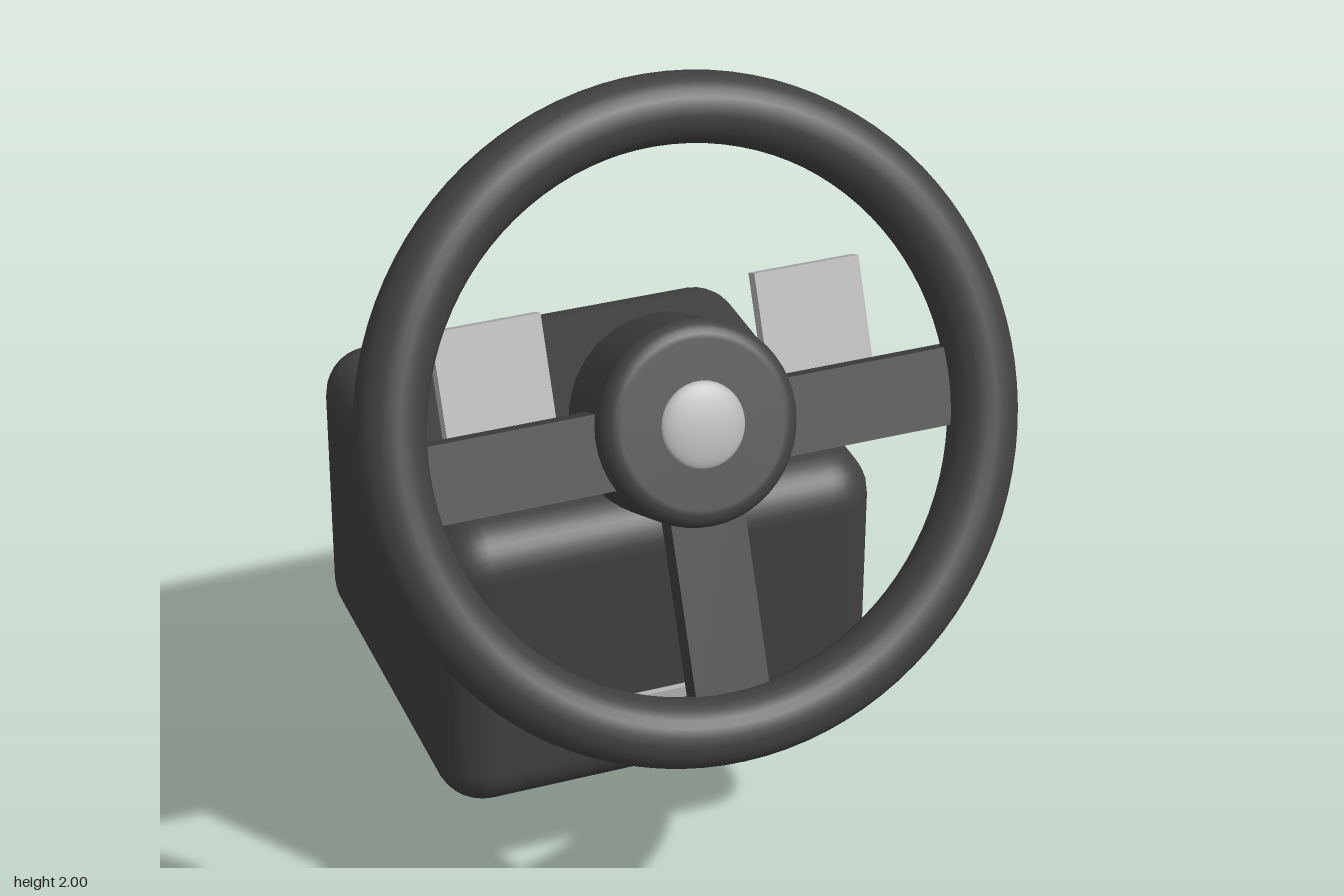
import * as THREE from 'three';
import { RoundedBoxGeometry } from 'three/addons/geometries/RoundedBoxGeometry.js';

const TILT = THREE.MathUtils.degToRad(24);

export function createModel() {
  const model = new THREE.Group();
  model.name = 'steeringWheelController';

  const dark = new THREE.MeshStandardMaterial({ color: 0x404040 });
  dark.name = 'dark plastic';
  const silver = new THREE.MeshStandardMaterial({ color: 0xb4b4b4 });
  silver.name = 'silver';

  const add = (parent, name, geometry, material, x = 0, y = 0, z = 0) => {
    const mesh = new THREE.Mesh(geometry, material);
    mesh.name = name;
    mesh.position.set(x, y, z);
    parent.add(mesh);
    return mesh;
  };

  // Base housing, rear clamp and front slot
  add(model, 'housing', new RoundedBoxGeometry(1.01, 0.72, 0.965, 4, 0.11), dark, 0, 0.68, -0.2425);
  add(model, 'clamp', new RoundedBoxGeometry(0.286, 0.4, 0.19, 2, 0.015), silver, 0, 0.2, -0.63);
  add(model, 'frontSlot', new THREE.BoxGeometry(0.24, 0.027, 0.03), silver, 0, 0.56, 0.24);

  // Wheel assembly: local z is the steering axis, leaning back
  const wheel = new THREE.Group();
  wheel.name = 'wheel';
  wheel.position.set(0, 1.333, 0.383);
  wheel.rotation.x = -TILT;
  model.add(wheel);

  add(wheel, 'rim', new THREE.TorusGeometry(0.65, 0.075, 24, 96), dark);

  // Hub: cylinder side and rounded front edge, plus a flat back disc
  const profile = [new THREE.Vector2(0.218, -0.167)];
  for (let i = 0; i <= 6; i++) {
    const a = (i / 6) * Math.PI / 2;
    profile.push(new THREE.Vector2(0.178 + 0.04 * Math.cos(a), 0.018 + 0.04 * Math.sin(a)));
  }
  profile.push(new THREE.Vector2(0, 0.058));
  add(wheel, 'hub', new THREE.LatheGeometry(profile, 48).rotateX(Math.PI / 2), dark);
  add(wheel, 'hubBack', new THREE.CircleGeometry(0.218, 48).rotateY(Math.PI), dark, 0, 0, -0.167);

  // Domed centre cap
  const cap = add(wheel, 'centreCap', new THREE.SphereGeometry(0.092, 32, 20), silver, 0, 0, 0.056);
  cap.scale.z = 0.24;

  // Steering column
  add(wheel, 'column', new THREE.CylinderGeometry(0.104, 0.104, 0.34, 40).rotateX(Math.PI / 2),
    dark, 0, 0, -0.309);

  // Spokes and shift paddles
  add(wheel, 'lowerSpoke', new THREE.BoxGeometry(0.165, 0.49, 0.06), dark, 0, -0.345, -0.026);
  for (const [side, s] of [['left', 1], ['right', -1]]) {
    add(wheel, side + 'Spoke', new THREE.BoxGeometry(0.49, 0.165, 0.06), dark, s * 0.345, -0.027, -0.026);
    add(wheel, side + 'Paddle', new THREE.BoxGeometry(0.24, 0.33, 0.036), silver, s * 0.36, 0.095, -0.193);
  }

  return model;
}
